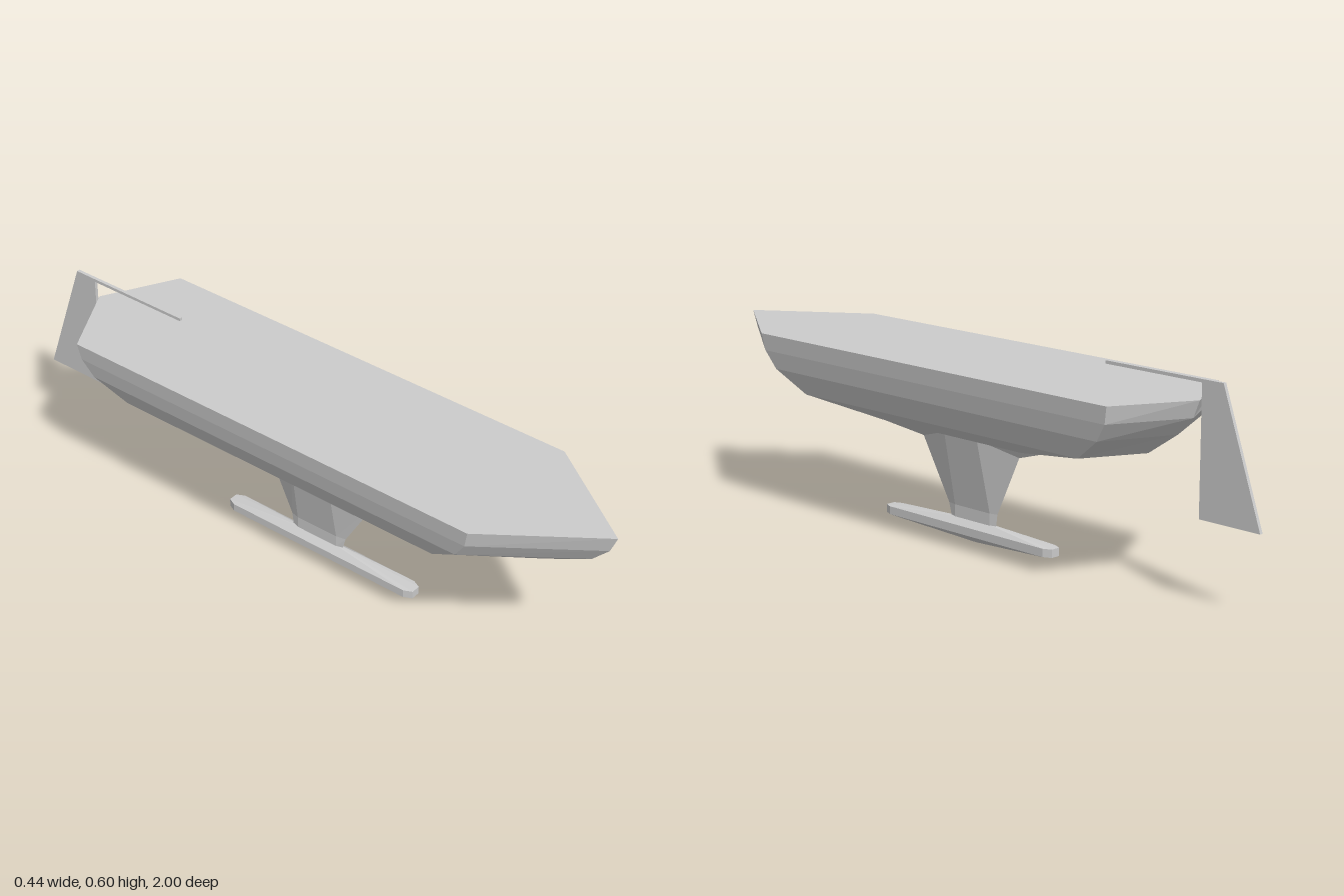
import * as THREE from 'three';

const material = new THREE.MeshStandardMaterial({ color: 0xcccccc, flatShading: true, side: THREE.DoubleSide });

// Skin a stack of rings (top to bottom, each counter-clockwise from above) and cap both ends.
function loft(name, rings) {
  const pos = [];
  const tri = (a, b, c) => pos.push(...a, ...b, ...c);
  const n = rings[0].length;
  for (let r = 0; r < rings.length - 1; r++) {
    const up = rings[r], low = rings[r + 1];
    for (let i = 0; i < n; i++) {
      const j = (i + 1) % n;
      tri(low[i], low[j], up[j]);
      tri(low[i], up[j], up[i]);
    }
  }
  const top = rings[0], bottom = rings[rings.length - 1];
  for (let i = 1; i < n - 1; i++) {
    tri(top[0], top[i], top[i + 1]);
    tri(bottom[0], bottom[i + 1], bottom[i]);
  }
  const geo = new THREE.BufferGeometry();
  geo.setAttribute('position', new THREE.Float32BufferAttribute(pos, 3));
  geo.computeVertexNormals();
  const mesh = new THREE.Mesh(geo, material);
  mesh.name = name;
  return mesh;
}

// Six-sided boat outline: bow and stern points on the centre line, four shoulders.
function boatRing([y, w, bow, front, aft, stern, tipY = y]) {
  return [
    [0, tipY, bow], [w, y, front], [w, y, aft],
    [0, tipY, stern], [-w, y, aft], [-w, y, front],
  ];
}

// Eight-sided outline with clipped ends for the ballast bulb.
function bulbRing([y, w, front, aft, clip]) {
  const e = w * 0.55;
  return [
    [e, y, front], [w, y, front - clip], [w, y, aft + clip], [e, y, aft],
    [-e, y, aft], [-w, y, aft + clip], [-w, y, front - clip], [-e, y, front],
  ];
}

export function createModel() {
  const model = new THREE.Group();
  model.name = 'sailingHull';

  // Hull: y, half width, bow, front shoulder, aft shoulder, stern
  const belly = [0.33, 0.097, 0.44, 0.29, -0.25, -0.32];
  model.add(loft('hull', [
    [0.547, 0.222, 1.0, 0.69, -0.67, -0.79],
    [0.497, 0.217, 0.98, 0.68, -0.66, -0.77],
    [0.445, 0.207, 0.93, 0.645, -0.625, -0.72],
    [0.378, 0.175, 0.8, 0.55, -0.53, -0.62],
    belly,
  ].map(boatRing)));

  // Keel fin, faired into the belly; its end points dip below the shoulders
  model.add(loft('keelFin', [
    belly,
    [0.32, 0.048, 0.235, 0.1, -0.03, -0.15, 0.28],
    [0.1, 0.006, 0.13, 0.1, -0.04, -0.065],
    [0.063, 0.006, 0.12, 0.1, -0.04, -0.06],
  ].map(boatRing)));

  // Ballast bulb: y, half width, front, aft, end clip
  model.add(loft('ballastBulb', [
    [0.065, 0.005, 0.12, -0.06, 0.01],
    [0.048, 0.026, 0.38, -0.29, 0.025],
    [0.024, 0.026, 0.38, -0.29, 0.025],
    [0.002, 0, 0.02, 0.02, 0],
  ].map(bulbRing)));

  // Rudder blade and tiller, drawn as (-z, y) and extruded across the boat
  const thickness = 0.01;
  const addPlate = (name, points) => {
    const shape = new THREE.Shape(points.map(([z, y]) => new THREE.Vector2(-z, y)));
    const geo = new THREE.ExtrudeGeometry(shape, { depth: thickness, bevelEnabled: false });
    geo.translate(0, 0, -thickness / 2);
    geo.rotateY(Math.PI / 2);
    const mesh = new THREE.Mesh(geo, material);
    mesh.name = name;
    model.add(mesh);
  };
  addPlate('rudderBlade', [[-0.8, 0.235], [-1, 0.235], [-0.87, 0.605], [-0.8, 0.605]]);
  addPlate('tiller', [[-0.8, 0.596], [-0.8, 0.605], [-0.47, 0.605], [-0.47, 0.596]]);

  return model;
}
